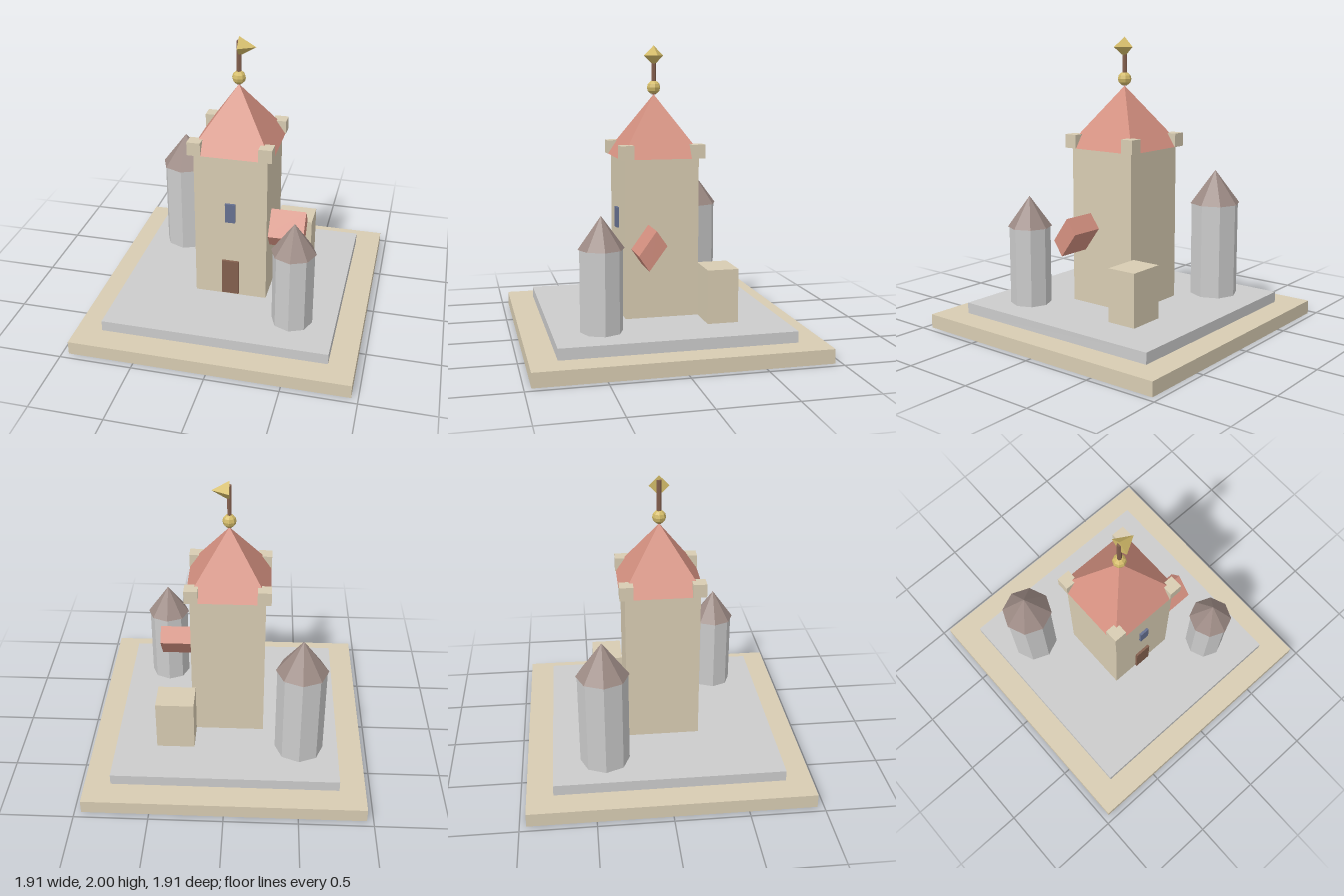
import * as THREE from 'three';

const paint = (color) => new THREE.MeshStandardMaterial({ color, flatShading: true });
const stone = paint(0xd8ccb2);
const grey = paint(0xcccccc);
const redTile = paint(0xd49080);
const slate = paint(0x9c8a84);
const wood = paint(0x84604e);
const glass = paint(0x667090);
const gold = paint(0xd4bc6a);

function add(parent, name, geometry, material, x = 0, y = 0, z = 0) {
  const mesh = new THREE.Mesh(geometry, material);
  mesh.name = name;
  mesh.position.set(x, y, z);
  parent.add(mesh);
  return mesh;
}

// Box placed by its bottom height
function block(parent, name, material, [w, h, d], x, bottom, z) {
  return add(parent, name, new THREE.BoxGeometry(w, h, d), material, x, bottom + h / 2, z);
}

// Eight-sided side tower with a pointed roof
function turret(name, x, z, radius, eaves, roofRadius, tip) {
  const group = new THREE.Group();
  group.name = name;
  group.position.set(x, 0, z);
  const h = eaves - 0.17;
  add(group, 'turretBody', new THREE.CylinderGeometry(radius, radius, h, 8), grey, 0, 0.17 + h / 2, 0);
  add(group, 'turretRoof', new THREE.ConeGeometry(roofRadius, tip - eaves, 8), slate, 0, (tip + eaves) / 2, 0);
  return group;
}

export function createModel() {
  const model = new THREE.Group();
  model.name = 'castle';

  // Stepped ground
  block(model, 'base', stone, [1.91, 0.095, 1.91], 0, 0, 0);
  block(model, 'courtyard', grey, [1.555, 0.075, 1.555], 0, 0.095, 0);

  // Main tower with door and window
  block(model, 'keep', stone, [0.505, 1.08, 0.505], 0, 0.17, 0);
  block(model, 'door', wood, [0.12, 0.262, 0.018], 0, 0.185, 0.261);
  block(model, 'window', glass, [0.07, 0.14, 0.018], 0, 0.76, 0.261);

  // Pyramid roof with a small block on each corner
  const roof = new THREE.ConeGeometry(0.402, 0.42, 4).rotateY(Math.PI / 4);
  add(model, 'keepRoof', roof, redTile, 0, 1.46, 0);
  for (const sx of [-1, 1]) {
    for (const sz of [-1, 1]) {
      block(model, 'cornerBlock', stone, [0.092, 0.093, 0.092], sx * 0.242, 1.25, sz * 0.242);
    }
  }

  // Pole, ball and pennant
  add(model, 'flagPole', new THREE.CylinderGeometry(0.016, 0.016, 0.3, 6), wood, 0, 1.82, 0);
  add(model, 'poleBall', new THREE.SphereGeometry(0.047, 8, 6), gold, 0, 1.717, 0);
  const pennant = new THREE.ConeGeometry(0.068, 0.116, 4).rotateZ(-Math.PI / 2);
  add(model, 'pennant', pennant, gold, 0.058, 1.932, 0);

  // Side towers
  model.add(turret('tallTurret', -0.505, -0.422, 0.168, 0.83, 0.177, 1.066));
  model.add(turret('shortTurret', 0.478, 0.455, 0.141, 0.71, 0.152, 0.922));

  // Annex behind the tower
  block(model, 'annex', stone, [0.263, 0.362, 0.21], 0.357, 0.17, -0.358);

  // Slanted prism jutting from the tower's left side; shape axes are (-z, y)
  const slant = new THREE.Shape([[-0.095, 0.811], [-0.212, 0.649], [-0.143, 0.548], [-0.024, 0.71]]
    .map(([x, y]) => new THREE.Vector2(x, y)));
  const prism = new THREE.ExtrudeGeometry(slant, { depth: 0.272, bevelEnabled: false }).rotateY(Math.PI / 2);
  add(model, 'annexRoof', prism, redTile, 0.225, 0, 0);

  return model;
}
